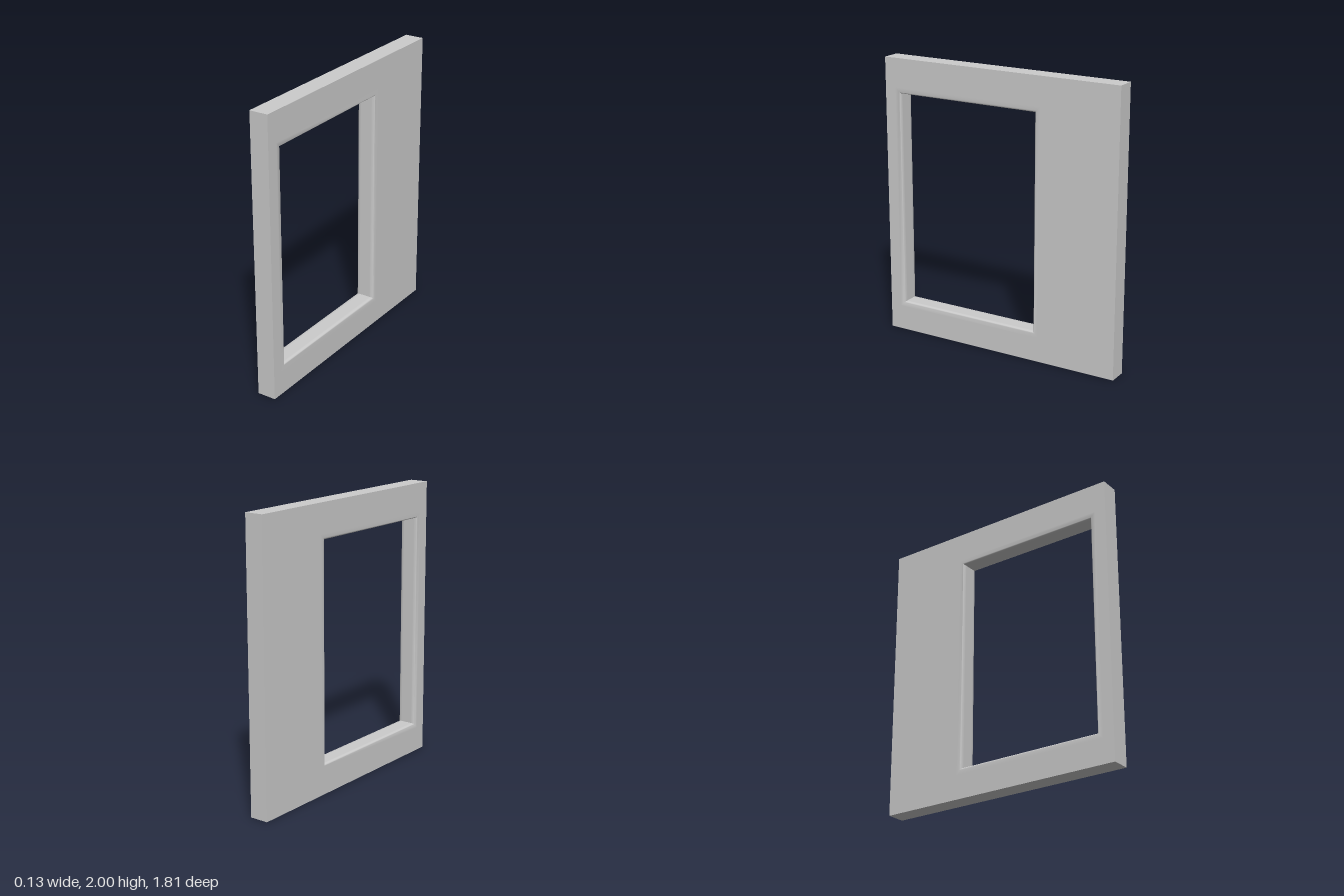
import * as THREE from 'three';
import { toCreasedNormals } from 'three/addons/utils/BufferGeometryUtils.js';

const HALF = 0.067;   // half the wall thickness
const R = 0.015;      // rounding of the opening's lips
const OUTER = { z0: -0.903, z1: 0.903, y0: 0, y1: 2 };
const HOLE = { z0: -0.285, z1: 0.782, y0: 0.215, y1: 1.753 };

// Four corners of a rectangle, grown by d, at depth x
function ring(r, x, d = 0) {
  return [
    [x, r.y0 - d, r.z0 - d], [x, r.y0 - d, r.z1 + d],
    [x, r.y1 + d, r.z1 + d], [x, r.y1 + d, r.z0 - d],
  ];
}

function wallGeometry() {
  // One lip: flat face, support loop, rounded edge, jamb
  const lip = [[HALF, R + 0.025]];
  const steps = 4;
  for (let i = 0; i <= steps; i++) {
    const a = (i / steps) * Math.PI / 2;
    lip.push([HALF - R * (1 - Math.cos(a)), R * (1 - Math.sin(a))]);
  }
  lip.push([HALF - R - 0.012, 0]);
  const profile = [...lip, ...lip.map(([x, d]) => [-x, d]).reverse()];

  // Rings run from the +x face through the opening to the -x face
  const rings = [
    ring(OUTER, HALF),
    ...profile.map(([x, d]) => ring(HOLE, x, d)),
    ring(OUTER, -HALF),
  ];
  const pos = [];
  rings.forEach((a, i) => {
    const b = rings[(i + 1) % rings.length];
    for (let k = 0; k < 4; k++) {
      const n = (k + 1) % 4;
      pos.push(...a[k], ...b[k], ...b[n], ...a[k], ...b[n], ...a[n]);
    }
  });
  const geo = new THREE.BufferGeometry();
  geo.setAttribute('position', new THREE.Float32BufferAttribute(pos, 3));
  return toCreasedNormals(geo, Math.PI * 0.22);
}

export function createModel() {
  const group = new THREE.Group();
  group.name = 'wallPanel';
  const wall = new THREE.Mesh(
    wallGeometry(),
    new THREE.MeshStandardMaterial({ color: 0xcccccc }),
  );
  wall.name = 'wallWithWindowOpening';
  group.add(wall);
  return group;
}
